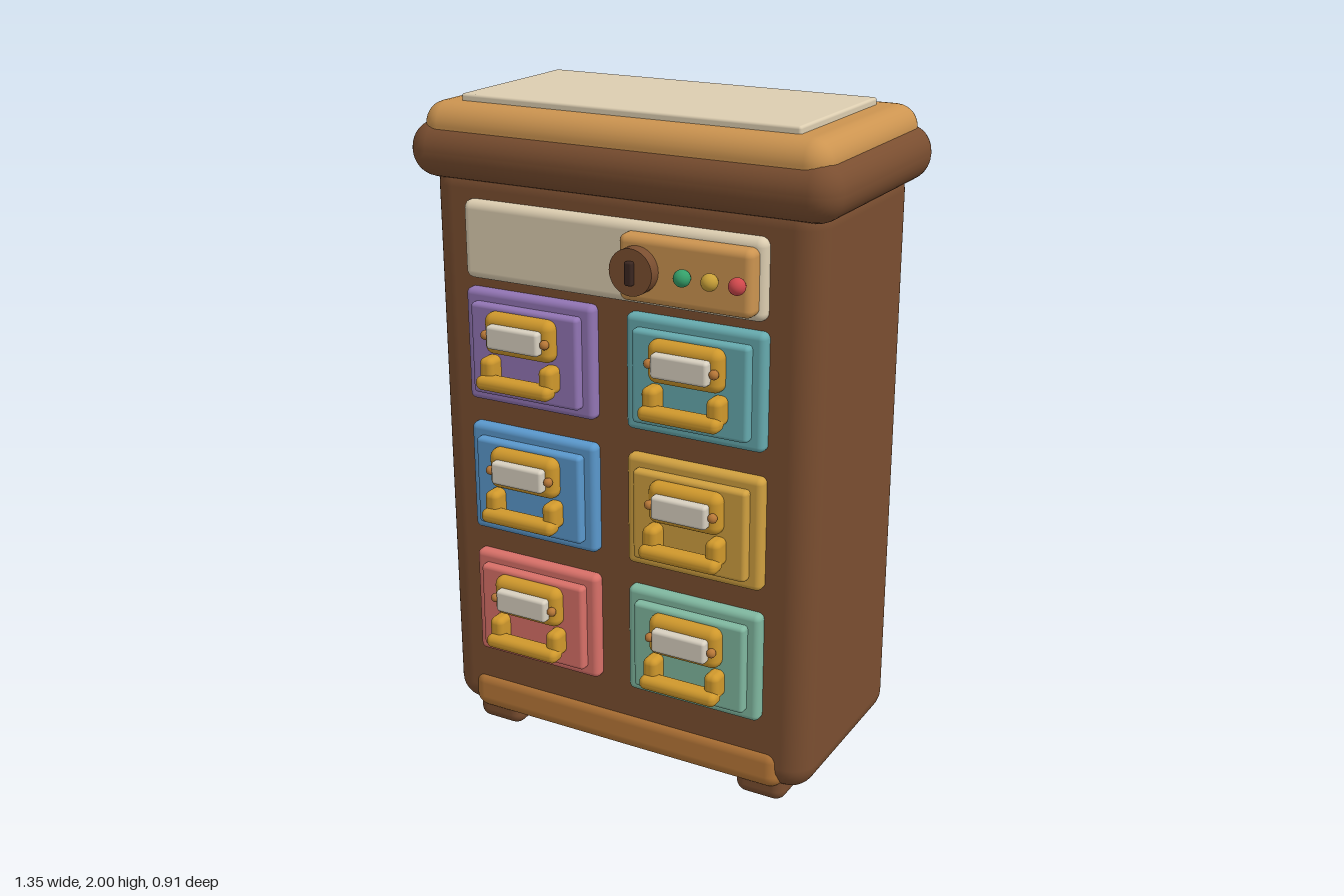
import * as THREE from 'three';
import { RoundedBoxGeometry } from 'three/addons/geometries/RoundedBoxGeometry.js';

const mat = (color) => new THREE.MeshStandardMaterial({ color });
const WOOD = mat(0x7a4e30), OAK = mat(0xb87838), TAN = mat(0xcc9450), CREAM = mat(0xdccdb0);
const GOLD = mat(0xcf982c), WHITE = mat(0xd8d0c0), DARK = mat(0x3a2620);

function add(parent, name, geometry, material, x = 0, y = 0, z = 0) {
  const mesh = new THREE.Mesh(geometry, material);
  mesh.name = name;
  mesh.position.set(x, y, z);
  parent.add(mesh);
  return mesh;
}

// Rounded block given by its [min, max] range on each axis
function block(parent, name, material, [x0, x1], [y0, y1], [z0, z1], radius) {
  const geometry = new RoundedBoxGeometry(x1 - x0, y1 - y0, z1 - z0, 4, radius);
  return add(parent, name, geometry, material, (x0 + x1) / 2, (y0 + y1) / 2, (z0 + z1) / 2);
}

// One drawer with its label holder and pull, centred on its own origin in x and y
function makeDrawer(color) {
  const drawer = new THREE.Group();
  drawer.name = 'drawer';
  const paint = mat(color);
  block(drawer, 'drawerFront', paint, [-0.215, 0.215], [-0.17, 0.17], [0.29, 0.355], 0.018);
  block(drawer, 'drawerInset', paint, [-0.18, 0.18], [-0.137, 0.137], [0.33, 0.383], 0.012);
  block(drawer, 'labelFrame', GOLD, [-0.115, 0.115], [0.0, 0.124], [0.36, 0.42], 0.027);
  block(drawer, 'label', WHITE, [-0.087, 0.087], [0.027, 0.097], [0.4, 0.445], 0.01);
  block(drawer, 'pullBar', GOLD, [-0.125, 0.125], [-0.1, -0.058], [0.4, 0.457], 0.019);
  for (const s of [-1, 1]) {
    add(drawer, 'labelScrew', new THREE.SphereGeometry(0.014, 16, 12), OAK, s * 0.1, 0.062, 0.425);
    block(drawer, 'pullPost', GOLD, [s * 0.1 - 0.023, s * 0.1 + 0.023], [-0.09, -0.008], [0.37, 0.435], 0.018);
  }
  return drawer;
}

export function createModel() {
  const cabinet = new THREE.Group();
  cabinet.name = 'cabinet';

  // Carcass, plinth and feet
  block(cabinet, 'body', WOOD, [-0.62, 0.62], [0.05, 1.82], [-0.318, 0.322], 0.08);
  block(cabinet, 'plinth', OAK, [-0.54, 0.54], [0.052, 0.188], [-0.322, 0.332], 0.045);
  for (const x of [-0.46, 0.46])
    for (const z of [-0.212, 0.222])
      block(cabinet, 'foot', WOOD, [x - 0.08, x + 0.08], [0, 0.1], [z - 0.082, z + 0.082], 0.035);

  // Stepped top
  block(cabinet, 'cornice', WOOD, [-0.675, 0.675], [1.76, 1.925], [-0.368, 0.37], 0.08);
  block(cabinet, 'topSlab', TAN, [-0.635, 0.635], [1.84, 1.98], [-0.342, 0.342], 0.065);
  block(cabinet, 'topInlay', CREAM, [-0.53, 0.53], [1.95, 2], [-0.24, 0.27], 0.008);

  // Control strip with lock and lamps
  block(cabinet, 'controlStrip', CREAM, [-0.485, 0.475], [1.485, 1.715], [0.29, 0.355], 0.025);
  block(cabinet, 'lockPlate', TAN, [0.055, 0.46], [1.505, 1.692], [0.33, 0.4], 0.022);
  const lock = add(cabinet, 'lock', new THREE.CylinderGeometry(0.066, 0.066, 0.06, 32), WOOD, 0.117, 1.6, 0.407);
  lock.rotation.x = Math.PI / 2;
  block(cabinet, 'lockSlot', DARK, [0.105, 0.129], [1.565, 1.632], [0.41, 0.452], 0.006);
  [[0.265, 0x35a06a], [0.347, 0xc8a038], [0.428, 0xd0484c]].forEach(([x, color]) =>
    add(cabinet, 'lamp', new THREE.SphereGeometry(0.024, 24, 16), mat(color), x, 1.6, 0.42));

  // Drawers: three rows of two
  const colors = [[0x9275b4, 0x66aaae], [0x5a98cc, 0xd0a040], [0xd87068, 0x80b8a0]];
  colors.forEach((row, i) => row.forEach((color, j) => {
    const drawer = makeDrawer(color);
    drawer.position.set(j ? 0.265 : -0.27, 1.287 - i * 0.416, 0);
    cabinet.add(drawer);
  }));

  // Back door with rails, ring and keyhole
  block(cabinet, 'backFrame', OAK, [-0.5, 0.5], [0.325, 1.69], [-0.356, -0.28], 0.012);
  block(cabinet, 'backPanel', CREAM, [-0.435, 0.435], [0.39, 1.62], [-0.39, -0.33], 0.01);
  for (const y of [0.407, 1.607])
    block(cabinet, 'backRail', OAK, [-0.36, 0.36], [y - 0.022, y + 0.022], [-0.418, -0.375], 0.016);
  add(cabinet, 'backRing', new THREE.TorusGeometry(0.16, 0.03, 20, 56), GOLD, 0, 1.045, -0.41);
  const eye = add(cabinet, 'keyholeEye', new THREE.SphereGeometry(0.055, 28, 18), WOOD, 0, 1.095, -0.413);
  eye.scale.z = 0.8;
  block(cabinet, 'keyholeStem', WOOD, [-0.027, 0.027], [0.91, 1.08], [-0.447, -0.37], 0.01);

  return cabinet;
}
